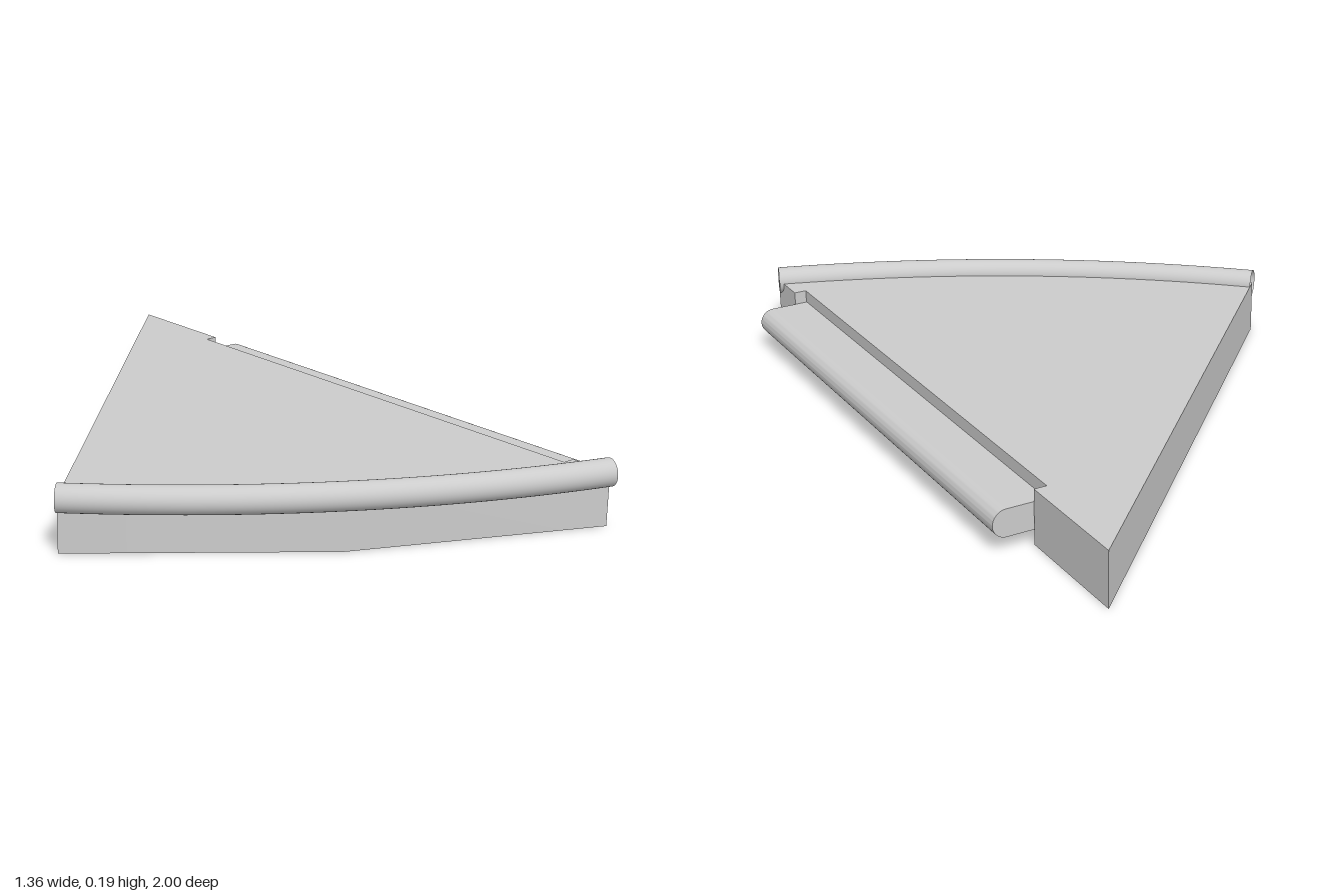
import * as THREE from 'three';
import { toCreasedNormals } from 'three/addons/utils/BufferGeometryUtils.js';

const HEIGHT = 0.15;      // wedge thickness
const RIM_RADIUS = 0.038; // curved front tube
const SIDE_X = 0.565;     // straight side of the wedge
const NOTCH_X = 0.53;     // back wall of the side notch
const NOTCH_Z = [-0.65, 0.837];

export function createModel() {
  const group = new THREE.Group();
  const material = new THREE.MeshStandardMaterial({ color: 0xcccccc, side: THREE.DoubleSide });

  const add = (name, geometry) => {
    const mesh = new THREE.Mesh(geometry, material);
    mesh.name = name;
    group.add(mesh);
    return mesh;
  };

  // Shallow arc of the front edge, shared by the wedge and the rim
  const arc = new THREE.QuadraticBezierCurve3(
    new THREE.Vector3(-0.655, HEIGHT, 0.221),
    new THREE.Vector3(-0.132, HEIGHT, 0.735),
    new THREE.Vector3(SIDE_X, HEIGHT, 0.962)
  );

  // Wedge plate: plan outline with a notch along its straight side
  const outline = [
    [SIDE_X, -1],
    ...arc.getPoints(2).map((p) => [p.x, p.z]),
    [SIDE_X, NOTCH_Z[1]], [NOTCH_X, NOTCH_Z[1]],
    [NOTCH_X, NOTCH_Z[0]], [SIDE_X, NOTCH_Z[0]],
  ];
  const plan = new THREE.Shape(outline.map(([x, z]) => new THREE.Vector2(x, -z)));
  const plate = new THREE.ExtrudeGeometry(plan, { depth: HEIGHT, bevelEnabled: false });
  plate.rotateX(-Math.PI / 2);
  add('wedgePlate', toCreasedNormals(plate, 0.4));

  // Open-ended tube along the curved edge
  add('rimTube', new THREE.TubeGeometry(arc, 40, RIM_RADIUS, 32, false));

  // Tongue with a rounded outer edge, seated in the notch
  const r = 0.0375, midY = 0.0775, roundX = 0.6385;
  const section = new THREE.Shape();
  section.moveTo(NOTCH_X, midY - r);
  section.lineTo(roundX, midY - r);
  section.absarc(roundX, midY, r, -Math.PI / 2, Math.PI / 2, false);
  section.lineTo(NOTCH_X, midY + r);
  section.closePath();
  const tongue = new THREE.ExtrudeGeometry(section, {
    depth: NOTCH_Z[1] - NOTCH_Z[0] - 0.006, bevelEnabled: false, curveSegments: 20,
  });
  add('sideTongue', toCreasedNormals(tongue, 0.5)).position.z = NOTCH_Z[0] + 0.003;

  return group;
}
